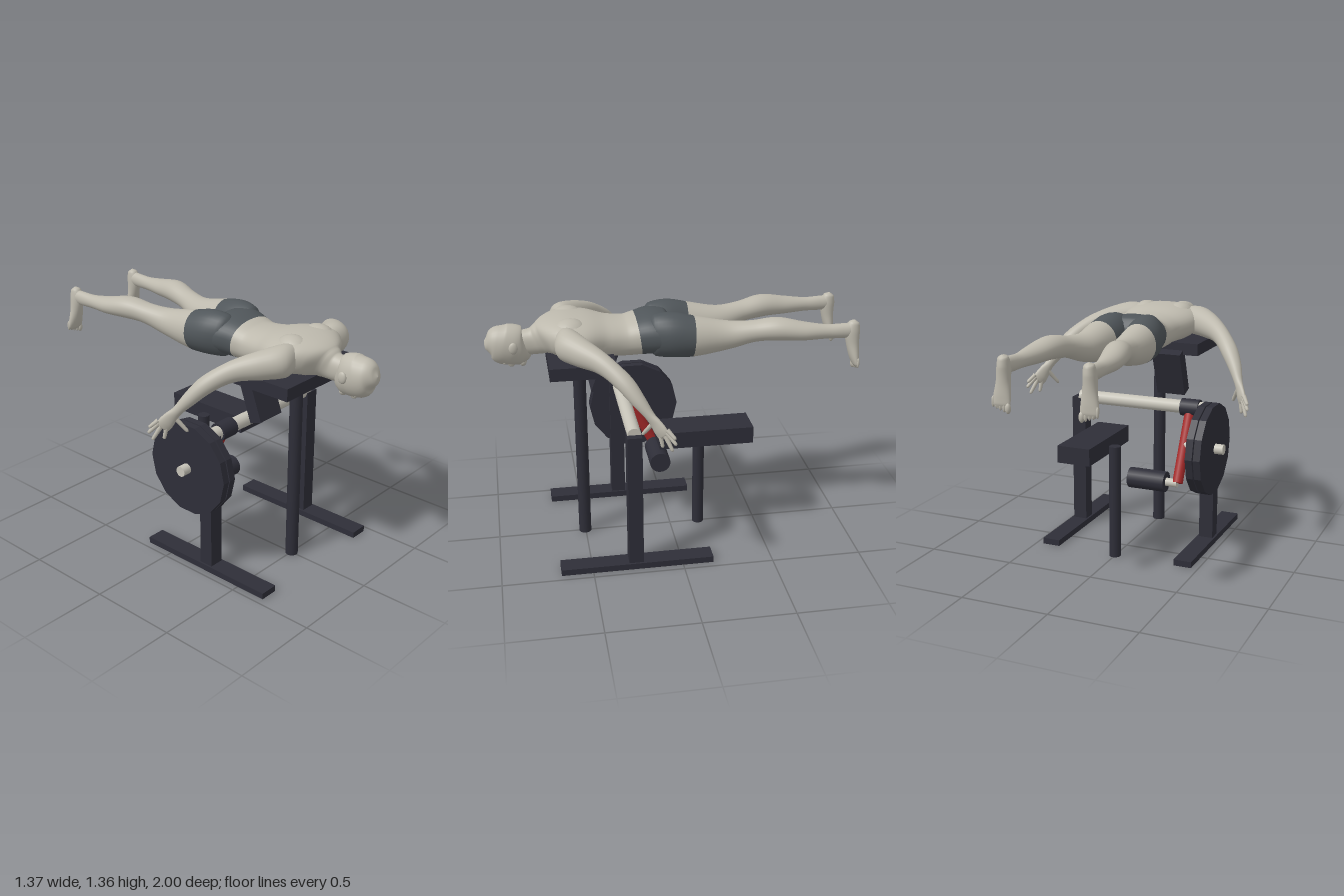
import * as THREE from 'three';

const mat = (name, color) => Object.assign(new THREE.MeshStandardMaterial({ color }), { name });
const V = (x, y, z) => new THREE.Vector3(x, y, z);

export function createModel() {
  const model = new THREE.Group();
  const skin = mat('skin', 0xbdb9ad);
  const shorts = mat('shorts', 0x50565a);
  const frame = mat('darkFrame', 0x2e2e38);
  const steel = mat('paleSteel', 0xc6c3b8);
  const red = mat('redArm', 0xa62a2a);

  const machine = new THREE.Group();
  machine.name = 'exerciseMachine';
  const body = new THREE.Group();
  body.name = 'proneFigure';
  model.add(machine, body);

  const add = (parent, name, geometry, material) => {
    const mesh = new THREE.Mesh(geometry, material);
    mesh.name = name;
    parent.add(mesh);
    return mesh;
  };

  // Box given by its minimum and maximum on each axis
  const box = (name, x0, x1, y0, y1, z0, z1) => {
    const mesh = add(machine, name, new THREE.BoxGeometry(x1 - x0, y1 - y0, z1 - z0), frame);
    mesh.position.set((x0 + x1) / 2, (y0 + y1) / 2, (z0 + z1) / 2);
    return mesh;
  };

  // Cylinder between two points
  const rod = (name, p, q, r, material, sides = 20) => {
    const mesh = add(machine, name, new THREE.CylinderGeometry(r, r, p.distanceTo(q), sides), material);
    mesh.position.copy(p).add(q).multiplyScalar(0.5);
    mesh.quaternion.setFromUnitVectors(V(0, 1, 0), q.clone().sub(p).normalize());
    return mesh;
  };

  // Smooth tube of ellipses through rows [x, y, z, radius along u, radius across];
  // row intervals from paint[0] to paint[1] take the shorts colour
  const loft = (name, rows, u, { square = 1, paint = [0, 0], sides = 28, steps = 5 } = {}) => {
    const path = new THREE.CatmullRomCurve3(rows.map((r) => V(r[0], r[1], r[2])));
    const size = new THREE.CatmullRomCurve3(rows.map((r) => V(r[3], r[4], r[2] * 0.2)));
    const count = (rows.length - 1) * steps;
    const pos = [], index = [];
    const pow = (c) => Math.sign(c) * Math.abs(c) ** square;
    for (let i = 0; i <= count; i++) {
      const c = path.getPoint(i / count), s = size.getPoint(i / count);
      const v = path.getTangent(i / count).cross(u).normalize();
      for (let j = 0; j < sides; j++) {
        const a = (j / sides) * Math.PI * 2;
        const p = c.clone()
          .addScaledVector(u, pow(Math.cos(a)) * Math.max(s.x, 0.001))
          .addScaledVector(v, pow(Math.sin(a)) * Math.max(s.y, 0.001));
        pos.push(p.x, p.y, p.z);
        if (i < count) {
          const k = i * sides, n = (j + 1) % sides;
          index.push(k + j, k + n, k + sides + j, k + n, k + sides + n, k + sides + j);
        }
      }
    }
    const geo = new THREE.BufferGeometry();
    geo.setAttribute('position', new THREE.Float32BufferAttribute(pos, 3));
    geo.setIndex(index);
    geo.computeVertexNormals();
    const ring = steps * sides * 6;
    for (let i = 0; i < rows.length - 1; i++) {
      geo.addGroup(i * ring, ring, i >= paint[0] && i < paint[1] ? 1 : 0);
    }
    return add(body, name, geo, [skin, shorts]);
  };

  const blob = (name, x, y, z, rx, ry, rz) => {
    const mesh = add(body, name, new THREE.SphereGeometry(1, 16, 12), skin);
    mesh.position.set(x, y, z);
    mesh.scale.set(rx, ry, rz);
    return mesh;
  };

  // Side frames: floor rails and uprights
  for (const s of [-1, 1]) {
    const c = s * 0.408;
    box('floorRail', c - 0.052, c + 0.052, 0, 0.035, -0.17, 0.675);
    box('upright', c - 0.041, c + 0.041, 0.03, 0.8, 0.22, 0.3);
  }

  // Posts and pads
  rod('frontPost', V(0, 0, 0.503), V(0, 1.1, 0.503), 0.035, frame);
  rod('rearPost', V(0, 0, -0.166), V(0, 0.65, -0.166), 0.033, frame);
  box('chestPad', -0.3, 0.3, 1.087, 1.156, 0.325, 0.677);
  box('rearPad', 0.03, 0.22, 0.605, 0.7, -0.433, 0.093);
  const tilted = box('tiltedPad', -0.21, -0.04, 0.845, 1.115, 0.317, 0.393);
  tilted.rotation.x = -0.35;

  // Crossbar, swing arm, roller and weights
  rod('crossbar', V(-0.39, 0.8, 0.257), V(0.408, 0.8, 0.257), 0.038, steel);
  rod('pivotSleeve', V(-0.345, 0.8, 0.255), V(-0.237, 0.8, 0.255), 0.05, frame);
  rod('swingArm', V(-0.29, 0.8, 0.255), V(-0.29, 0.405, 0.055), 0.03, red);
  rod('rollerAxle', V(-0.29, 0.403, 0.055), V(-0.2, 0.403, 0.055), 0.024, steel);
  rod('roller', V(-0.222, 0.403, 0.055), V(0, 0.403, 0.055), 0.059, frame);
  rod('weightAxle', V(-0.528, 0.603, 0.155), V(-0.29, 0.603, 0.155), 0.029, steel);
  for (const x of [-0.477, -0.43]) {
    const plate = rod('weightPlate', V(x, 0.6, 0.155), V(x + 0.04, 0.6, 0.155), 0.262, frame, 14);
    plate.geometry = plate.geometry.toNonIndexed();
    plate.geometry.computeVertexNormals();
  }
  rod('weightSpacer', V(-0.44, 0.6, 0.155), V(-0.43, 0.6, 0.155), 0.2, frame);

  // Head, face down, crown to the front
  const X = V(1, 0, 0);
  loft('head', [
    [0, 1.22, 1.0, 0.002, 0.002], [0, 1.217, 0.988, 0.038, 0.044], [0, 1.213, 0.95, 0.072, 0.086],
    [0, 1.198, 0.9, 0.083, 0.112], [0, 1.19, 0.85, 0.082, 0.113], [0, 1.182, 0.81, 0.071, 0.105],
    [0, 1.183, 0.785, 0.055, 0.08], [0, 1.19, 0.765, 0.02, 0.03],
  ], X);
  blob('nose', 0, 1.085, 0.863, 0.014, 0.022, 0.022);
  blob('chin', 0, 1.092, 0.803, 0.032, 0.026, 0.022);
  blob('brow', 0, 1.105, 0.9, 0.05, 0.02, 0.018);

  // Torso from neck to hips
  loft('torso', [
    [0, 1.2, 0.81, 0.05, 0.065], [0, 1.205, 0.74, 0.058, 0.074], [0, 1.218, 0.7, 0.085, 0.086],
    [0, 1.235, 0.655, 0.165, 0.097], [0, 1.248, 0.58, 0.235, 0.1], [0, 1.237, 0.48, 0.228, 0.106],
    [0, 1.218, 0.36, 0.172, 0.1], [0, 1.21, 0.25, 0.154, 0.101], [0, 1.219, 0.18, 0.164, 0.108],
    [0, 1.23, 0.1, 0.186, 0.115], [0, 1.23, 0.03, 0.195, 0.105], [0, 1.23, -0.01, 0.11, 0.05],
    [0, 1.23, -0.015, 0.002, 0.002],
  ], X, { square: 0.88, paint: [8, 12], sides: 40 });

  for (const s of [-1, 1]) {
    const m = (rows) => rows.map(([x, ...rest]) => [x * s, ...rest]);
    blob('ear', s * 0.089, 1.2, 0.85, 0.013, 0.032, 0.024);
    blob('shoulderBlade', s * 0.105, 1.275, 0.55, 0.085, 0.078, 0.1);

    // Leg with shorts on the upper thigh
    loft('leg', m([
      [0.09, 1.23, 0.15, 0.03, 0.05], [0.096, 1.232, 0.1, 0.085, 0.115], [0.106, 1.233, 0.01, 0.105, 0.124],
      [0.115, 1.221, -0.105, 0.102, 0.112], [0.122, 1.22, -0.29, 0.08, 0.079], [0.158, 1.246, -0.43, 0.064, 0.058],
      [0.187, 1.262, -0.55, 0.071, 0.062], [0.212, 1.25, -0.69, 0.06, 0.05], [0.222, 1.243, -0.82, 0.037, 0.039],
      [0.226, 1.243, -0.9, 0.032, 0.041], [0.228, 1.245, -0.955, 0.03, 0.04], [0.228, 1.245, -0.985, 0.005, 0.01],
    ]), X, { paint: [0, 3] });

    // Foot, sole to the rear and toes down
    loft('foot', m([
      [0.228, 1.303, -0.967, 0.002, 0.002], [0.228, 1.288, -0.964, 0.026, 0.029], [0.229, 1.24, -0.957, 0.034, 0.042],
      [0.231, 1.17, -0.962, 0.037, 0.035], [0.234, 1.1, -0.973, 0.047, 0.026], [0.236, 1.06, -0.981, 0.049, 0.017],
      [0.236, 1.04, -0.984, 0.03, 0.006],
    ]), X);
    for (let i = 0; i < 5; i++) {
      const r = i ? 0.0105 - i * 0.0005 : 0.015;
      blob('toe', s * (0.197 + i * 0.0205), 1.042 + i * 0.007, -0.985, r, 0.028, r);
    }

    // Arm reaching out and down
    const U = V(s, 0, 1).normalize();
    loft('arm', m([
      [0.1, 1.25, 0.6, 0.04, 0.05], [0.2, 1.25, 0.575, 0.085, 0.085], [0.3, 1.236, 0.505, 0.07, 0.075],
      [0.385, 1.215, 0.425, 0.053, 0.058], [0.44, 1.185, 0.37, 0.047, 0.05], [0.5, 1.13, 0.305, 0.047, 0.046],
      [0.55, 1.06, 0.25, 0.037, 0.037], [0.588, 0.99, 0.198, 0.023, 0.027], [0.606, 0.955, 0.172, 0.018, 0.035],
      [0.622, 0.92, 0.15, 0.017, 0.041], [0.632, 0.895, 0.138, 0.012, 0.036], [0.635, 0.89, 0.135, 0.002, 0.005],
    ]), U);

    // Fingers and thumb: [root x, root y, tip x, tip y] in the plane of the arm
    const fingers = [
      [0.645, 0.935, 0.679, 0.893], [0.643, 0.92, 0.682, 0.862], [0.635, 0.905, 0.668, 0.822],
      [0.618, 0.9, 0.628, 0.828], [0.592, 0.955, 0.546, 0.87],
    ];
    for (const [x0, y0, x1, y1] of fingers) {
      const at = (k, r) => {
        const x = x0 + (x1 - x0) * k;
        return [x, y0 + (y1 - y0) * k, 0.15 - (x - 0.62) * 1.15, r, r];
      };
      loft('finger', m([at(0, 0.013), at(0.5, 0.011), at(0.9, 0.009), at(1, 0.001)]), U, { sides: 10, steps: 3 });
    }
  }
  return model;
}
